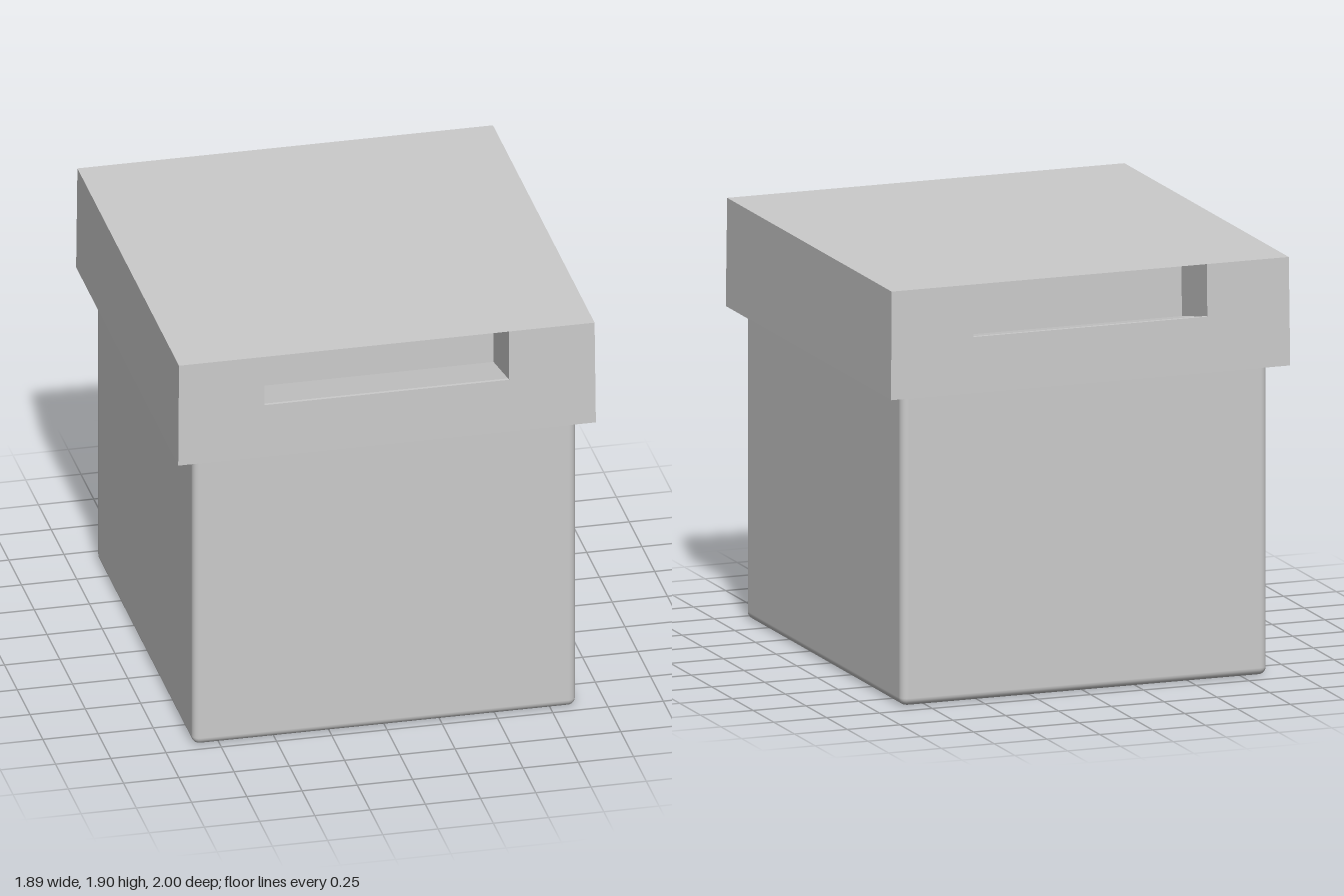
import * as THREE from 'three';
import { RoundedBoxGeometry } from 'three/addons/geometries/RoundedBoxGeometry.js';

const W = 0.945, D = 1, TOP = 1.9, RIM = 1.41, WALL = 0.015;
const SLOT = 0.555, SLOT_Y = 1.663; // grip opening: half width and lower lip
const material = new THREE.MeshStandardMaterial({ color: 0xcccccc, side: THREE.DoubleSide });

// Lid walls lean in very slightly towards the top
function draft(geometry) {
  const p = geometry.attributes.position;
  for (let i = 0; i < p.count; i++) {
    const s = 1 - 0.005 * (p.getY(i) - RIM) / (TOP - RIM);
    p.setX(i, p.getX(i) * s);
    p.setZ(i, p.getZ(i) * s);
  }
  geometry.computeVertexNormals();
  return geometry;
}

function part(name, geometry, parent) {
  const mesh = new THREE.Mesh(geometry, material);
  mesh.name = name;
  parent.add(mesh);
  return mesh;
}

function extrude(points, depth) {
  const shape = new THREE.Shape(points.map(([x, y]) => new THREE.Vector2(x, y)));
  return new THREE.ExtrudeGeometry(shape, { depth, bevelEnabled: false });
}

// Extrude a (z, y) profile along x, from x0 to x1
const acrossX = (points, x0, x1) =>
  extrude(points, x1 - x0).rotateY(-Math.PI / 2).translate(x1, 0, 0);

// One end of the lid: notched wall and the sloping grip pocket behind it
function lidEnd(name) {
  const end = new THREE.Group();
  end.name = name;
  const wall = [[-W, RIM], [W, RIM], [W, TOP], [SLOT, TOP], [SLOT, SLOT_Y],
    [-SLOT, SLOT_Y], [-SLOT, TOP], [-W, TOP]];
  part('lidEndWall', draft(extrude(wall, WALL).translate(0, 0, D - WALL)), end);

  const recess = [[D, TOP], [0.69, 1.85], [0.69, 1.6], [D, SLOT_Y]];
  const outside = [[0.985, 1.648], [0.675, 1.585], [0.675, 1.865]];
  part('gripPocket', draft(acrossX([...recess, ...outside], -SLOT, SLOT)), end);
  for (const s of [-1, 1]) {
    const x = s * SLOT;
    part('gripPocketSide', draft(acrossX(recess, Math.min(x, x + s * WALL), Math.max(x, x + s * WALL))), end);
  }
  return end;
}

export function createModel() {
  const model = new THREE.Group();
  model.name = 'storageBox';

  // Bin with softly rounded edges
  const bin = part('bin', new RoundedBoxGeometry(1.735, 1.58, 1.89, 3, 0.035), model);
  bin.position.set(-0.002, 0.79, 0.02);

  // Hollow lid
  const lid = new THREE.Group();
  lid.name = 'lid';
  model.add(lid);
  part('lidTop', draft(new THREE.PlaneGeometry(2 * W, 2 * D).rotateX(-Math.PI / 2).translate(0, TOP, 0)), lid);
  for (const s of [-1, 1]) {
    const side = new THREE.BoxGeometry(WALL, TOP - RIM, 2 * D - 0.01);
    part('lidSideWall', draft(side.translate(s * (W - WALL / 2), (TOP + RIM) / 2, 0)), lid);
  }
  const back = lidEnd('lidBack');
  back.rotation.y = Math.PI;
  lid.add(lidEnd('lidFront'), back);

  return model;
}
